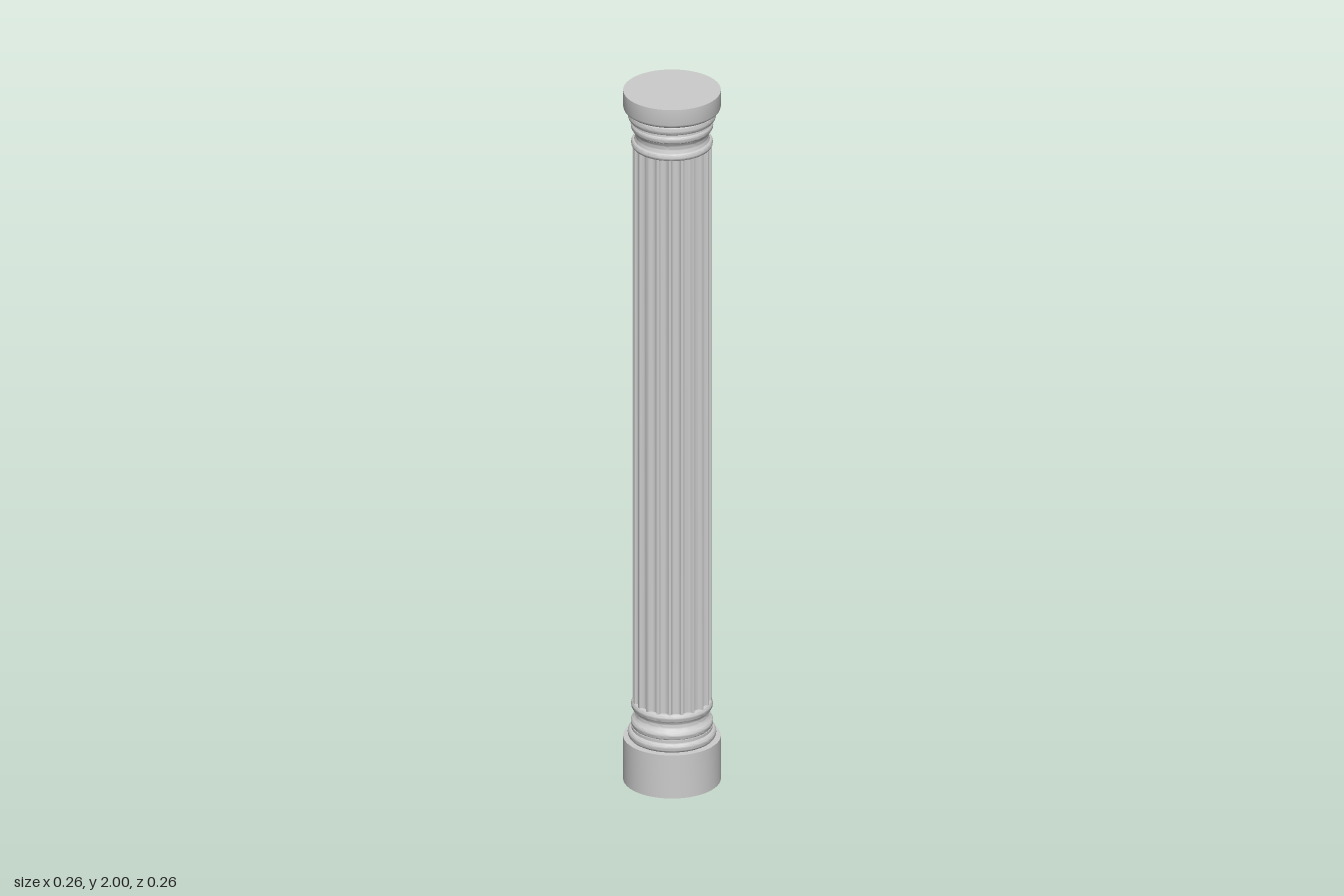
import * as THREE from 'three';
import { toCreasedNormals } from 'three/addons/utils/BufferGeometryUtils.js';

const FLUTES = 20;
const SHAFT_RADIUS = 0.104;
const material = new THREE.MeshStandardMaterial({ color: 0xcccccc });

function addPart(group, name, geometry, crease = 0.6) {
  const mesh = new THREE.Mesh(toCreasedNormals(geometry, crease), material);
  mesh.name = name;
  group.add(mesh);
}

// Half-round bead bulging from radius r between two heights
function bead(r, y0, y1, bulge, steps = 8) {
  const points = [];
  for (let i = 0; i <= steps; i++) {
    const a = Math.PI * (i / steps - 0.5);
    points.push([r + bulge * Math.cos(a), (y0 + y1) / 2 + (y1 - y0) / 2 * Math.sin(a)]);
  }
  return points;
}

// Concave sweep from one radius to another, hollowed inwards
function cove(r0, y0, r1, y1, hollow, steps = 8) {
  const points = [];
  for (let i = 0; i <= steps; i++) {
    const t = i / steps;
    points.push([r0 + (r1 - r0) * t - hollow * Math.sin(Math.PI * t), y0 + (y1 - y0) * t]);
  }
  return points;
}

function turned(profile) {
  return new THREE.LatheGeometry(profile.map(([r, y]) => new THREE.Vector2(r, y)), 64);
}

// Outline of the shaft: narrow fillets separated by round hollows
function flutedShape() {
  const points = [];
  const pitch = Math.PI * 2 / FLUTES, fillet = pitch * 0.2, steps = 8;
  for (let f = 0; f < FLUTES; f++) {
    for (let i = 0; i <= steps; i++) {
      const u = -Math.cos(Math.PI * i / steps);
      const a = f * pitch + fillet / 2 + (pitch - fillet) * (u + 1) / 2;
      const r = SHAFT_RADIUS - 0.01 * Math.sqrt(Math.max(0, 1 - u * u));
      points.push(new THREE.Vector2(r * Math.cos(a), r * Math.sin(a)));
    }
  }
  return new THREE.Shape(points);
}

export function createModel() {
  const column = new THREE.Group();
  column.name = 'column';

  // Round plinth
  addPart(column, 'plinth', turned([[0, 0], [0.129, 0], [0.129, 0.125], [0, 0.125]]));

  // Base mouldings: two rounds, a hollow and a collar
  addPart(column, 'baseMoulding', turned([
    [0, 0.125], [0.109, 0.125],
    ...bead(0.109, 0.125, 0.15, 0.008),
    [0.107, 0.15], [0.107, 0.158],
    ...bead(0.103, 0.158, 0.18, 0.006),
    ...cove(0.104, 0.18, 0.1, 0.208, 0.006),
    ...bead(0.102, 0.208, 0.23, 0.006),
    [0, 0.23],
  ]));

  // Fluted shaft
  const shaft = new THREE.ExtrudeGeometry(flutedShape(), { depth: 1.63, bevelEnabled: false, steps: 1 });
  shaft.rotateX(-Math.PI / 2).translate(0, 0.22, 0);
  addPart(column, 'flutedShaft', shaft);

  // Capital mouldings: collar, hollow neck and two rounds
  addPart(column, 'capitalMoulding', turned([
    [0, 1.84],
    ...bead(0.102, 1.84, 1.86, 0.006),
    ...cove(0.1, 1.86, 0.104, 1.89, 0.005),
    ...bead(0.103, 1.89, 1.91, 0.006),
    [0.107, 1.91], [0.107, 1.918],
    ...bead(0.109, 1.918, 1.945, 0.008),
    [0.109, 1.95], [0, 1.95],
  ]));

  // Round abacus with a softened lower edge
  addPart(column, 'abacus', turned([
    [0, 1.945], [0.122, 1.945], [0.127, 1.949], [0.129, 1.955], [0.129, 2], [0, 2],
  ]));

  return column;
}
